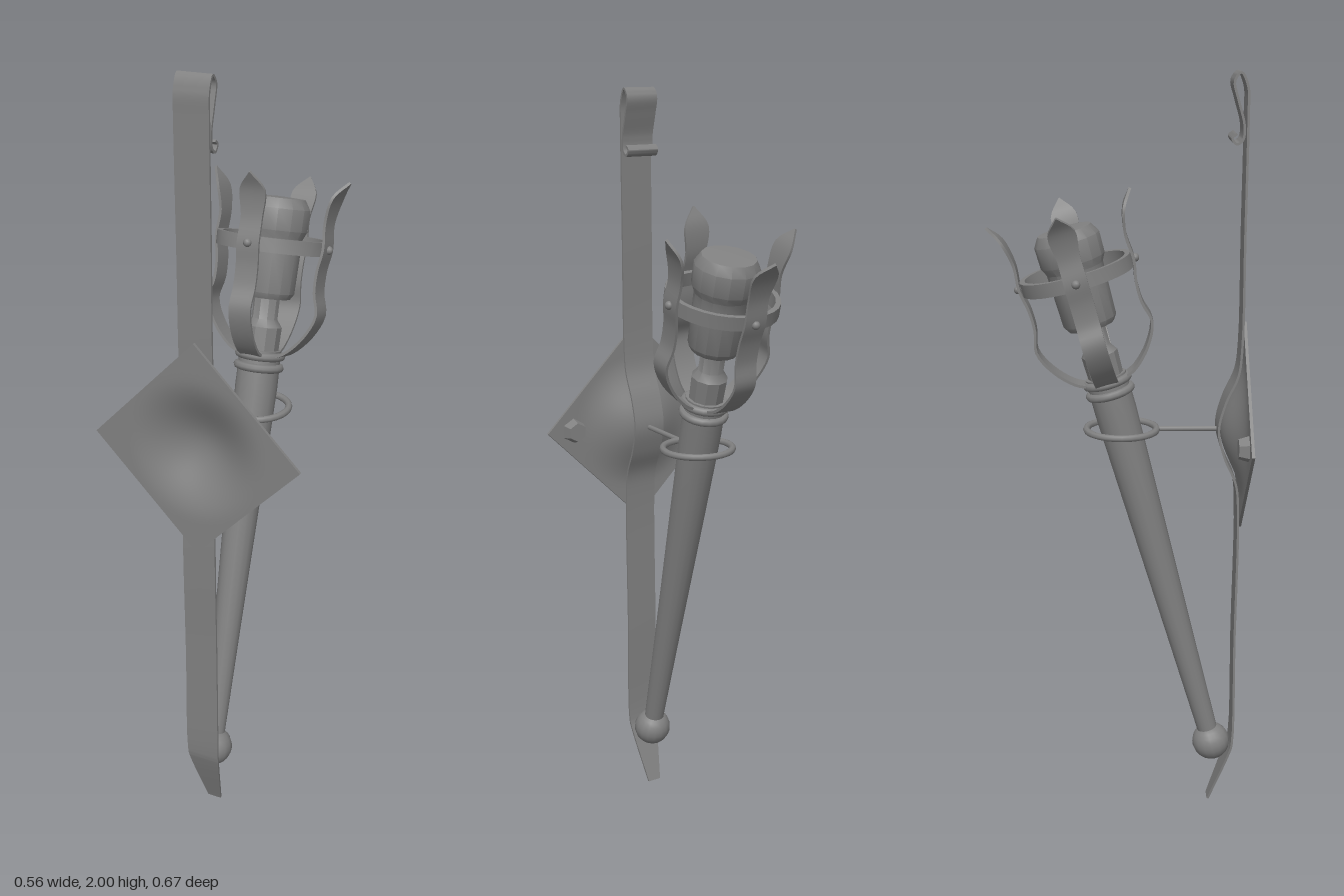
import * as THREE from 'three';
import { toCreasedNormals } from 'three/addons/utils/BufferGeometryUtils.js';

const iron = new THREE.MeshStandardMaterial({ color: 0x808080 });
iron.name = 'iron grey';

function add(parent, name, geometry, x = 0, y = 0, z = 0) {
  const mesh = new THREE.Mesh(geometry, iron);
  mesh.name = name;
  mesh.position.set(x, y, z);
  parent.add(mesh);
  return mesh;
}

const lathe = (profile, sides) => toCreasedNormals(
  new THREE.LatheGeometry(profile.map(p => new THREE.Vector2(...p)), sides), 0.6);

// Flat bar swept along a smooth path of [halfWidth, y, z] points
function ribbon(path, thickness, steps) {
  const curve = new THREE.CatmullRomCurve3(path.map(p => new THREE.Vector3(...p)));
  const n = (path.length - 1) * steps, pos = [], idx = [];
  for (let i = 0; i <= n; i++) {
    const p = curve.getPoint(i / n), t = curve.getTangent(i / n);
    const len = Math.hypot(t.y, t.z) || 1;
    const ny = -t.z / len * thickness / 2, nz = t.y / len * thickness / 2;
    const w = Math.max(p.x, 0.001);
    for (const [sx, sn] of [[-1, 1], [1, 1], [1, -1], [-1, -1]])
      pos.push(sx * w, p.y + sn * ny, p.z + sn * nz);
    if (i === n) continue;
    for (let j = 0; j < 4; j++) {
      const a = i * 4 + j, b = i * 4 + (j + 1) % 4;
      idx.push(a, b, b + 4, a, b + 4, a + 4);
    }
  }
  const e = n * 4;
  idx.push(0, 2, 1, 0, 3, 2, e, e + 1, e + 2, e, e + 2, e + 3);
  const g = new THREE.BufferGeometry();
  g.setAttribute('position', new THREE.Float32BufferAttribute(pos, 3));
  g.setIndex(idx);
  return toCreasedNormals(g, 0.7);
}

export function createModel() {
  const model = new THREE.Group();
  model.name = 'wallTorch';

  // Wall bracket: long strap, bowed over the plate and curled at the top
  const W = 0.045;
  add(model, 'backStrap', ribbon([
    [0.019, 0, 0.26], [0.042, 0.155, 0.315], [W, 0.185, 0.322], [W, 0.5, 0.322],
    [W, 0.88, 0.322], [W, 0.95, 0.314], [W, 1.02, 0.284], [W, 1.095, 0.267],
    [W, 1.17, 0.284], [W, 1.24, 0.314], [W, 1.31, 0.322], [W, 1.6, 0.322],
    [W, 1.9, 0.322], [W, 1.96, 0.32], [W, 1.995, 0.303], [W, 1.975, 0.287],
    [W, 1.93, 0.297], [W, 1.87, 0.313], [W, 1.835, 0.31], [W, 1.825, 0.295],
    [W, 1.84, 0.284], [W, 1.85, 0.295]], 0.006, 5));

  // Diamond plate dished toward the torch
  const plate = new THREE.BoxGeometry(0.396, 0.396, 0.008, 28, 28, 1).rotateZ(Math.PI / 4);
  const pp = plate.attributes.position;
  for (let i = 0; i < pp.count; i++) {
    const r = Math.min(Math.hypot(pp.getX(i), pp.getY(i)) / 0.19, 1);
    pp.setZ(i, pp.getZ(i) - 0.0275 * (1 + Math.cos(Math.PI * r)));
  }
  add(model, 'diamondPlate', toCreasedNormals(plate, 0.7), 0, 1.095, 0.332);

  // Hex bolts on the plate
  for (const side of [-1, 1]) {
    const bolt = new THREE.CylinderGeometry(0.034, 0.026, 0.026, 6).rotateX(Math.PI / 2);
    add(model, 'plateBolt', toCreasedNormals(bolt, 0.5), side * 0.203, 1.095, 0.315);
  }

  // Holding ring and its arm
  add(model, 'holdingRing', new THREE.TorusGeometry(0.092, 0.009, 8, 28).rotateX(Math.PI / 2), 0, 1.09, 0.015);
  add(model, 'holdingArm', new THREE.CylinderGeometry(0.007, 0.007, 0.17, 8).rotateX(Math.PI / 2), 0, 1.09, 0.188);

  // Leaning torch, built upright from the centre of its ball
  const torch = new THREE.Group();
  torch.name = 'torch';
  torch.position.set(0, 0.175, 0.267);
  torch.rotation.x = -0.27;
  model.add(torch);
  add(torch, 'ballEnd', new THREE.SphereGeometry(0.052, 16, 12));
  add(torch, 'shaft', lathe([[0, 0.02], [0.027, 0.02], [0.036, 0.35], [0.048, 0.75],
    [0.055, 1.0], [0.054, 1.1], [0, 1.1]], 16));
  for (const y of [1.055, 1.085])
    add(torch, 'collar', new THREE.TorusGeometry(0.055, 0.011, 8, 20).rotateX(Math.PI / 2), 0, y, 0);
  add(torch, 'neck', lathe([[0, 1.09], [0.046, 1.09], [0.048, 1.16], [0.034, 1.18],
    [0.034, 1.26], [0, 1.26]], 10));
  add(torch, 'head', lathe([[0, 1.235], [0.06, 1.235], [0.07, 1.25], [0.073, 1.36],
    [0.074, 1.39], [0.084, 1.41], [0.085, 1.465], [0.07, 1.49], [0, 1.493]], 14));

  // Basket: hoop and four pointed prongs with rivets
  add(torch, 'basketHoop', lathe([[0.132, 1.357], [0.146, 1.357], [0.146, 1.393],
    [0.132, 1.393], [0.132, 1.357]], 28));
  const B = 0.03;
  const prong = ribbon([[B, 1.085, 0.045], [B, 1.102, 0.08], [B, 1.15, 0.126], [B, 1.21, 0.153],
    [B, 1.265, 0.141], [B, 1.32, 0.141], [B, 1.375, 0.15], [0.029, 1.44, 0.146],
    [0.034, 1.505, 0.16], [0.001, 1.547, 0.188]], 0.007, 4);
  for (let i = 0; i < 4; i++) {
    const arm = new THREE.Group();
    arm.name = 'basketProng';
    arm.rotation.y = i * Math.PI / 2;
    torch.add(arm);
    add(arm, 'prongBlade', prong);
    add(arm, 'rivet', new THREE.SphereGeometry(0.011, 10, 8), 0, 1.375, 0.154);
  }
  return model;
}
